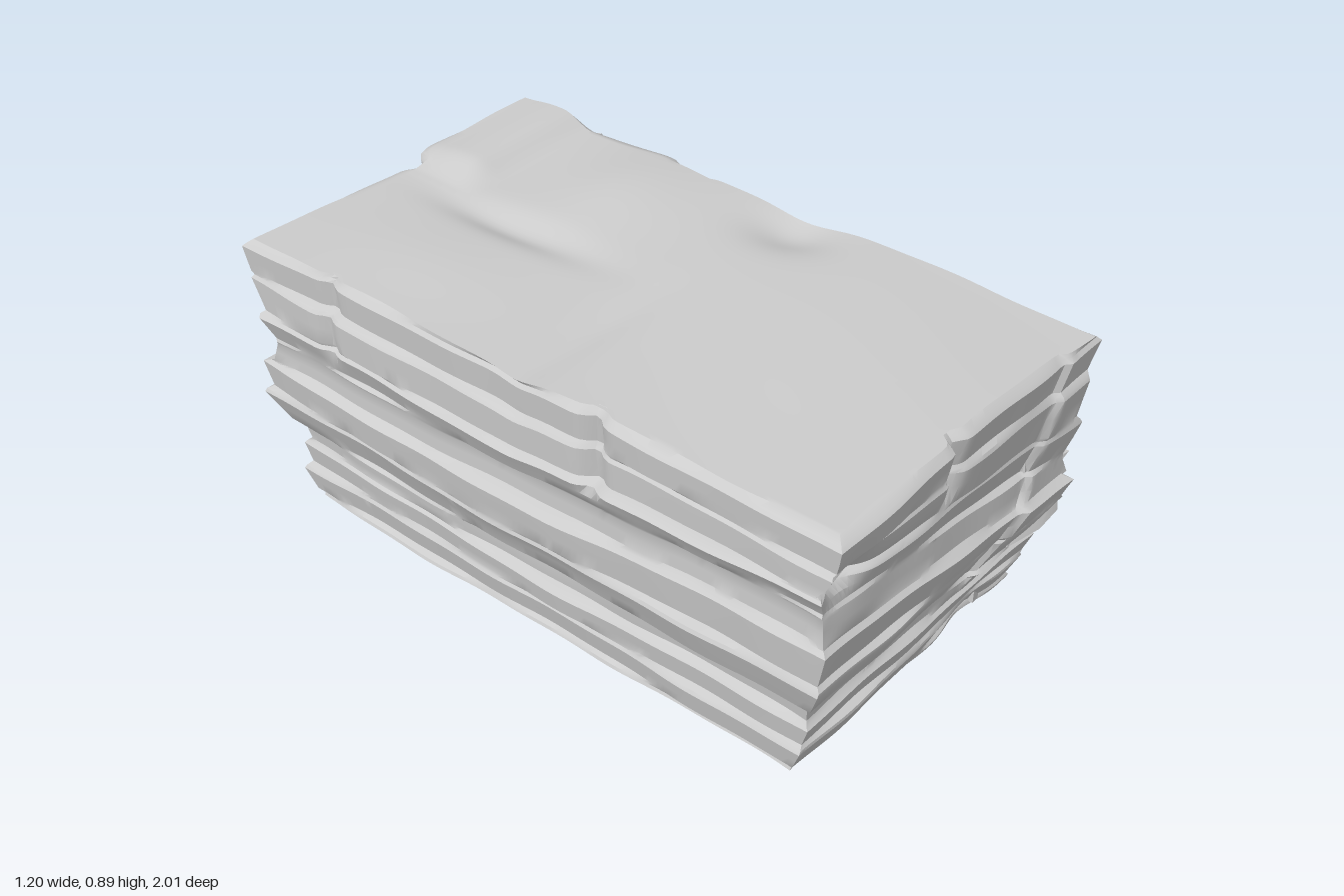
import * as THREE from 'three';
import { toCreasedNormals } from 'three/addons/utils/BufferGeometryUtils.js';

const rock = new THREE.MeshStandardMaterial({ color: 0xcccccc });
const lerp = THREE.MathUtils.lerp;
const bell = (d, r) => Math.exp(-(d / r) * (d / r));
const step = (a, b, t) => THREE.MathUtils.smoothstep(t, a, b);

// Brow of each stratum: y, front z, back z, left-hand x, right-hand x
const STRATA = [
  [0.025, 0.845, -0.865, -0.515, 0.47],
  [0.11, 0.88, -0.9, -0.525, 0.49],
  [0.19, 0.9, -0.905, -0.525, 0.49],
  [0.25, 0.885, -0.9, -0.515, 0.47],
  [0.36, 0.95, -0.975, -0.575, 0.5],
  [0.46, 0.975, -0.985, -0.58, 0.49],
  [0.54, 0.945, -0.915, -0.555, 0.47],
  [0.63, 0.967, -0.93, -0.595, 0.5],
  [0.74, 0.975, -0.982, -0.582, 0.5],
  [0.835, 0.98, -0.985, -0.575, 0.525],
];

const inset = ([y, front, back, lo, hi], d, newY) => [newY, front - d, back + d, lo + d, hi - d];

// Profile rows: a rounded base, a groove under every stratum, and a rounded top edge
function profileRows() {
  const rows = [inset(STRATA[0], 0.035, 0.005)];
  STRATA.forEach((s, i) => {
    if (i > 0) {
      const mid = s.map((a, k) => lerp(STRATA[i - 1][k], a, 0.5));
      rows.push(inset(mid, 0.012, STRATA[i - 1][0] + 0.018));
    }
    rows.push(s);
  });
  rows.push(inset(STRATA[STRATA.length - 1], 0.02, 0.855));
  return rows;
}

// Rise and fall of the upper surface
function topRelief(x, z) {
  return 0.012 * bell(z - 0.35, 0.3) + 0.006 * Math.sin(5 * x + 2 * z)
    + 0.03 * bell(x - 0.3, 0.28) * bell(z + 0.38, 0.18)
    + 0.038 * step(0, 0.14, x) * (1 - step(-0.82, -0.7, z)) * (0.6 + 0.4 * step(-1, -0.85, z))
    + 0.016 * bell(x + 0.3, 0.2) * bell(z + 0.5, 0.3)
    - 0.03 * bell(x + 0.04, 0.06) * bell(z + 0.5, 0.25)
    - 0.035 * bell(x - 0.42, 0.1) * bell(z - 0.1, 0.12)
    - 0.012 * bell(z - 0.02, 0.06) * (1 - step(-0.3, 0.1, x));
}

// Uneven thickness of each layer along a side
const layerNoise = (k, s) =>
  0.006 * Math.sin(3.1 * s + k * 2.4) + 0.004 * Math.sin(8.3 * s + k * 4.1) + 0.002 * Math.sin(19 * s + k * 1.7);

// Front: an upright joint, a long slanting joint and a scooped corner
function frontRelief(x, y) {
  const joint = y > 0.5 ? 0.29 + (y - 0.5) * 0.26 : 0.14 + (y - 0.22) * 0.5;
  return step(0.645, 0.66, y) * (0.012 * (1 - step(-0.13, -0.11, x)) - 0.025 * bell(x + 0.095, 0.025))
    + 0.018 * step(joint - 0.012, joint + 0.012, x) * step(0.2, 0.26, y)
    - 0.06 * bell(x + 0.5, 0.07) * bell(y - 0.66, 0.06)
    - 0.03 * bell(x - 0.25, 0.1) * bell(y - 0.06, 0.06);
}

// Back: a notch in the upper layers and a hollow near the base
function backRelief(x, y) {
  return step(0.62, 0.65, y) * (0.015 * step(0.06, 0.09, x) - 0.04 * bell(x - 0.05, 0.03))
    - 0.02 * bell(x + 0.2, 0.15) * bell(y - 0.2, 0.06);
}

// Even long side: two upright joints
function evenRelief(z, y) {
  return -step(0.6, 0.64, y) * (0.03 * bell(z - 0.27, 0.03) + 0.02 * bell(z + 0.66, 0.025))
    - 0.012 * bell(y - 0.3, 0.05) * bell(z, 0.3);
}

// Broken long side: deep recesses between the slabs
function brokenRelief(z, y) {
  return -0.07 * bell(z + 0.31, 0.05) * step(0.52, 0.6, y)
    - 0.11 * bell(z - 0.29, 0.08) * bell(y - 0.42, 0.14);
}

// Layered body: a finely divided box shaped by the profile rows
function stratifiedBody() {
  const rows = profileRows();
  const count = (rows.length - 1) * 2;
  const geo = new THREE.BoxGeometry(2, 2, 2, 64, count, 96);
  const p = geo.attributes.position;
  for (let i = 0; i < p.count; i++) {
    const u = p.getX(i), v = p.getZ(i);
    const t = Math.round((p.getY(i) + 1) / 2 * count) / 2;
    const low = Math.floor(t), layer = Math.floor(t / 2);
    const next = rows[Math.min(low + 1, rows.length - 1)];
    const [h, front, back, lo, hi] = rows[low].map((a, k) => lerp(a, next[k], t - low));
    const x0 = lerp(lo, hi, (u + 1) / 2), z0 = lerp(back, front, (v + 1) / 2);
    let x = x0, z = z0;
    if (v > 0.999) z += frontRelief(x0, h) + layerNoise(layer, x0);
    if (v < -0.999) z -= backRelief(x0, h) + layerNoise(layer + 5, x0);
    if (u < -0.999) x -= evenRelief(z0, h) + layerNoise(layer + 9, z0);
    if (u > 0.999) x += brokenRelief(z0, h) + layerNoise(layer + 3, z0);
    // Bedding planes tilt and undulate
    const tilt = -0.09 * x0 * bell(h - 0.54, 0.13) * (0.5 + 0.5 * v);
    const wave = 0.014 * Math.sin(Math.PI * h / 0.855) * Math.sin(3.4 * z0 + 2 * x0);
    p.setXYZ(i, x, h + tilt + wave + topRelief(x0, z0) * step(0.5, 0.855, h), z);
  }
  const mesh = new THREE.Mesh(toCreasedNormals(geo, 0.5), rock);
  mesh.name = 'stratifiedBody';
  return mesh;
}

let seed = 7;
const random = () => (seed = (seed * 16807) % 2147483647) / 2147483647;

// Chipped slab: a box whose outer corners are worn back unevenly
function slab(y0, y1, z0, z1, outer) {
  const geo = new THREE.BoxGeometry(1, 1, 1, 2, 2, 3);
  const p = geo.attributes.position, chips = new Map();
  for (let i = 0; i < p.count; i++) {
    const a = p.getX(i), b = p.getY(i), c = p.getZ(i);
    const key = [a, b, c].map((n) => n.toFixed(2)).join();
    if (!chips.has(key)) chips.set(key, [random(), random(), random()]);
    const [r, s, q] = chips.get(key);
    const rim = a > 0.4 && (Math.abs(b) > 0.4 || Math.abs(c) > 0.4);
    p.setXYZ(i,
      lerp(0.3, outer, a + 0.5) - (a > 0.4 ? r * (rim ? 0.03 : 0.012) : 0),
      (y0 + y1) / 2 + b * (y1 - y0) * (rim ? 0.94 : 1) + (s - 0.5) * 0.018,
      (z0 + z1) / 2 + c * (z1 - z0) * (rim ? 0.96 : 1) + (q - 0.5) * 0.03);
  }
  const mesh = new THREE.Mesh(toCreasedNormals(geo, 0.35), rock);
  mesh.name = 'brokenSlab';
  return mesh;
}

// Stack of slabs in uneven courses, filling one patch of the broken side
function slabStack(name, y0, y1, z0, z1, outer, columns, courses) {
  const stack = new THREE.Group();
  stack.name = name;
  const h = (y1 - y0) / courses, d = (z1 - z0) / columns;
  for (let j = 0; j < courses; j++) {
    let start = z0;
    for (let i = 1; i <= columns; i++) {
      const end = i === columns ? z1 : z0 + d * (i + (random() - 0.5) * 0.6);
      const y = y0 + j * h;
      stack.add(slab(y, y + h * (0.86 + 0.12 * random()), start, end - 0.012, outer + (random() - 0.5) * 0.04));
      start = end;
    }
  }
  return stack;
}

export function createModel() {
  seed = 7;
  const model = new THREE.Group();
  model.name = 'layeredRock';
  model.add(
    stratifiedBody(),
    slabStack('baseSlabs', 0.03, 0.26, -0.87, 0.85, 0.515, 5, 2),
    slabStack('frontSlabs', 0.27, 0.68, 0.4, 0.95, 0.55, 2, 4),
    slabStack('middleBulge', 0.26, 0.56, -0.26, 0.2, 0.585, 2, 2),
    slabStack('rearSlabs', 0.28, 0.7, -0.96, -0.27, 0.585, 2, 4),
    slabStack('upperFrontSlabs', 0.69, 0.81, 0.41, 0.95, 0.55, 2, 1),
    slabStack('upperMiddleSlabs', 0.59, 0.8, -0.24, 0.38, 0.535, 3, 1),
    slabStack('upperRearSlabs', 0.7, 0.83, -0.96, -0.37, 0.575, 2, 1),
  );
  return model;
}
